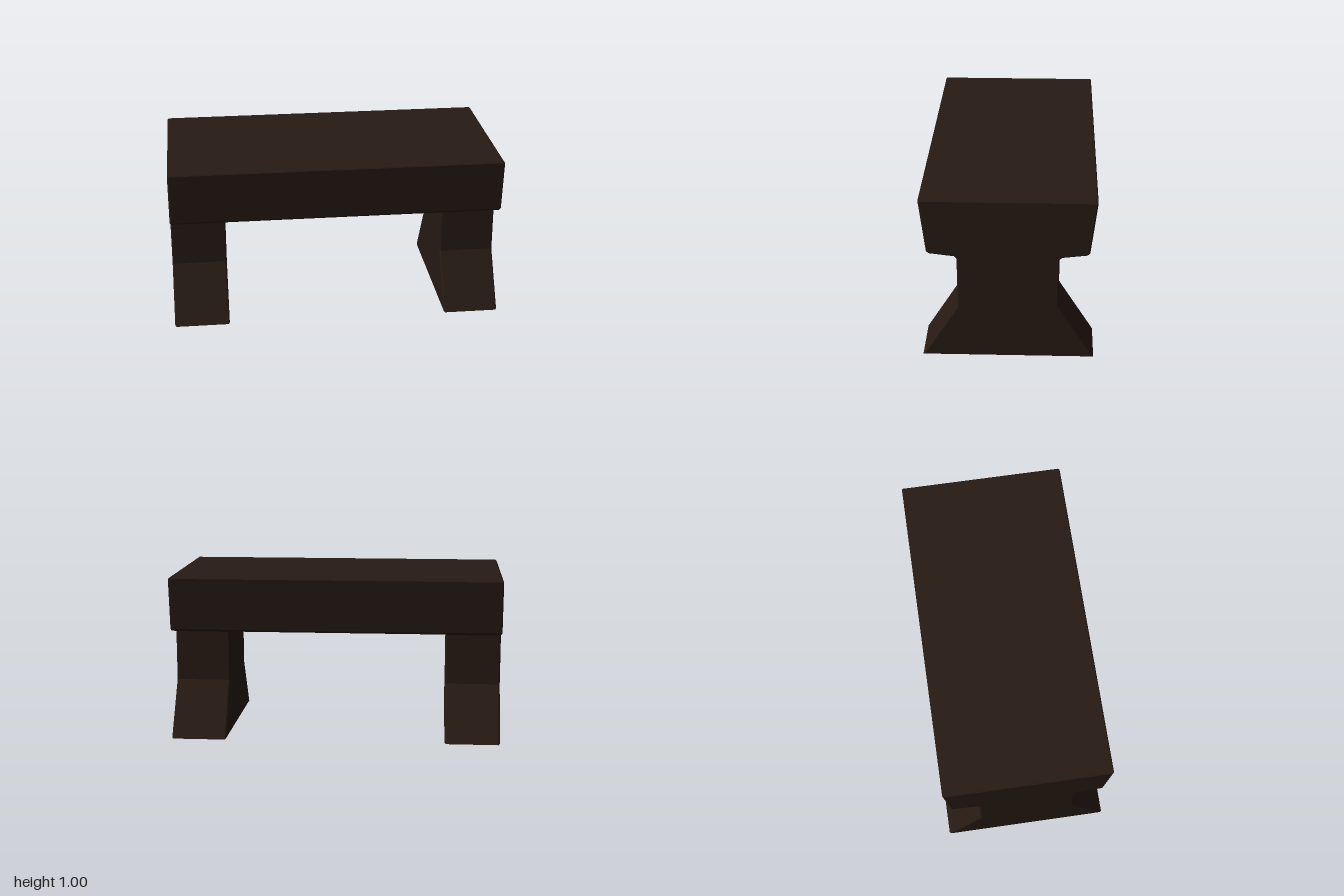
import * as THREE from 'three';

const BEVEL = 0.008;
const LEG_INNER = 0.667;
const wood = new THREE.MeshStandardMaterial({ color: 0x261a13 });

// Half outlines as [z, y], from the top edge downwards
const slabSide = [[0.495, 1], [0.5, 0.994], [0.462, 0.682], [0.447, 0.669]];
const legSide = [[0.305, 0.652], [0.29, 0.637], [0.29, 0.333], [0.496, 0.005]];

// Mirrored profile extruded along x between x0 and x1
function extrudeAcross(half, x0, x1, bevel) {
  const mirrored = half.map(([z, y]) => [-z, y]).reverse();
  const shape = new THREE.Shape([...half, ...mirrored].map(([z, y]) => new THREE.Vector2(z, y)));
  const geometry = new THREE.ExtrudeGeometry(shape, {
    depth: x1 - x0 - 2 * bevel,
    bevelEnabled: bevel > 0,
    bevelThickness: bevel,
    bevelSize: bevel,
    bevelOffset: -bevel,
    bevelSegments: 1,
  });
  geometry.rotateY(Math.PI / 2);
  geometry.translate(x0 + bevel, 0, 0);
  return geometry;
}

export function createModel() {
  const model = new THREE.Group();
  model.name = 'bench';

  const add = (name, geometry) => {
    const mesh = new THREE.Mesh(geometry, wood);
    mesh.name = name;
    model.add(mesh);
  };

  // Seat slab spanning between the two ends
  const span = LEG_INNER + BEVEL;
  add('seat', extrudeAcross(slabSide, -span, span, 0));

  // End blocks: seat end and flared leg in one piece
  const endSide = [...slabSide, ...legSide];
  add('leftLeg', extrudeAcross(endSide, LEG_INNER, 1, BEVEL));
  add('rightLeg', extrudeAcross(endSide, -1, -LEG_INNER, BEVEL));

  return model;
}
